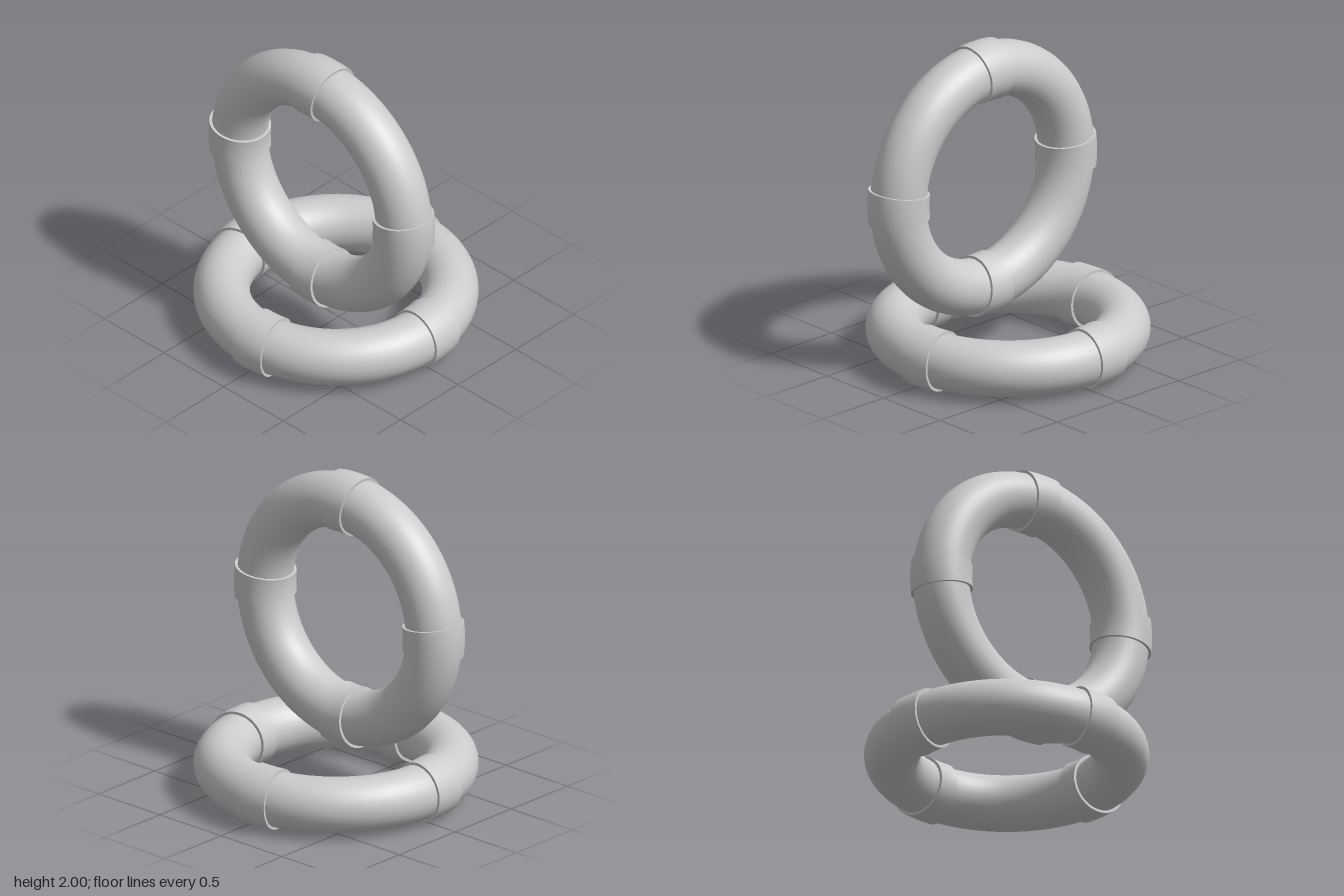
import * as THREE from 'three';
import { mergeGeometries } from 'three/addons/utils/BufferGeometryUtils.js';

const RING = 0.69, TUBE = 0.171, COLLAR = 0.188;
const COLLAR_ARC = THREE.MathUtils.degToRad(14.8);

const material = new THREE.MeshStandardMaterial({ color: 0xcccccc });

// Short thicker sleeve around the tube, centred on angle 0, with closed ends
function collarGeometry() {
  const sleeve = new THREE.TorusGeometry(RING, COLLAR, 32, 4, COLLAR_ARC);
  sleeve.rotateZ(-COLLAR_ARC / 2);
  const ends = [-1, 1].map((side) => {
    const cap = new THREE.RingGeometry(TUBE - 0.01, COLLAR, 32);
    cap.rotateX(-side * Math.PI / 2);
    cap.translate(RING, 0, 0);
    cap.rotateZ(side * COLLAR_ARC / 2);
    return cap;
  });
  return mergeGeometries([sleeve, ...ends]);
}

// Ring in the XY plane with four collars a quarter turn apart
function makeRing(name) {
  const ring = new THREE.Group();
  ring.name = name;
  const tube = new THREE.Mesh(new THREE.TorusGeometry(RING, TUBE, 32, 96), material);
  tube.name = name + 'Tube';
  ring.add(tube);
  const geometry = collarGeometry();
  for (let i = 0; i < 4; i++) {
    const collar = new THREE.Mesh(geometry, material);
    collar.name = name + 'Collar' + (i + 1);
    collar.rotation.z = i * Math.PI / 2;
    ring.add(collar);
  }
  return ring;
}

export function createModel() {
  const model = new THREE.Group();
  model.name = 'linkedRings';

  // Ring lying flat, turned slightly about the vertical axis
  const flat = makeRing('flatRing');
  flat.rotation.set(-Math.PI / 2, 0, THREE.MathUtils.degToRad(5.3));
  flat.position.set(0, COLLAR, -0.025);

  // Ring standing upright, linked through the flat one
  const upright = makeRing('uprightRing');
  upright.rotation.y = Math.PI / 2;
  upright.position.set(-0.175, 1.122, 0.025);

  model.add(flat, upright);
  return model;
}
